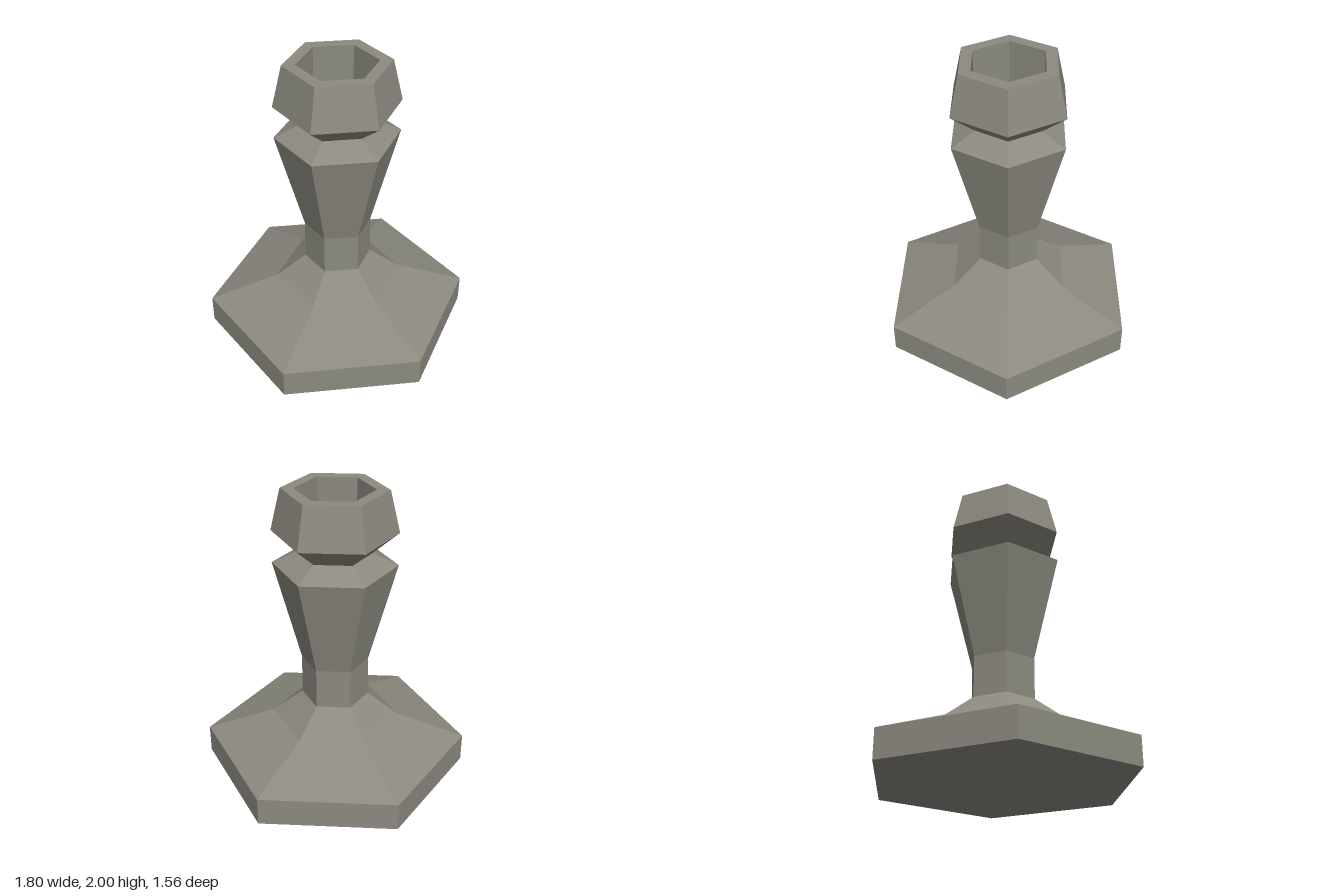
import * as THREE from 'three';

const stone = new THREE.MeshStandardMaterial({ name: 'stoneGrey', color: 0x8c8a80, flatShading: true });
const dark = new THREE.MeshStandardMaterial({ name: 'socketBlack', color: 0x0c0c0c, flatShading: true });

// Six-sided turned part with corners on the x axis; points run from bottom outside to top inside
function hexPart(name, points, material = stone) {
  const profile = points.map(([r, y]) => new THREE.Vector2(r, y));
  const mesh = new THREE.Mesh(new THREE.LatheGeometry(profile, 6, Math.PI / 2), material);
  mesh.name = name;
  return mesh;
}

export function createModel() {
  const group = new THREE.Group();
  group.name = 'hexPedestal';
  group.add(
    // Wide foot with sloping shoulders
    hexPart('base', [[0, 0], [0.9, 0], [0.9, 0.195], [0.43, 0.37], [0.225, 0.53]]),
    // Narrow neck flaring upward, then pinching in
    hexPart('stem', [[0.225, 0.53], [0.225, 0.81], [0.408, 1.5], [0.24, 1.58]]),
    // Cup with a flat rim and straight inner walls
    hexPart('cup', [[0.24, 1.58], [0.408, 1.72], [0.342, 2], [0.258, 2], [0.258, 1.62]]),
    // Dark floor inside the cup
    hexPart('socketFloor', [[0.258, 1.62], [0, 1.62]], dark),
  );
  return group;
}
